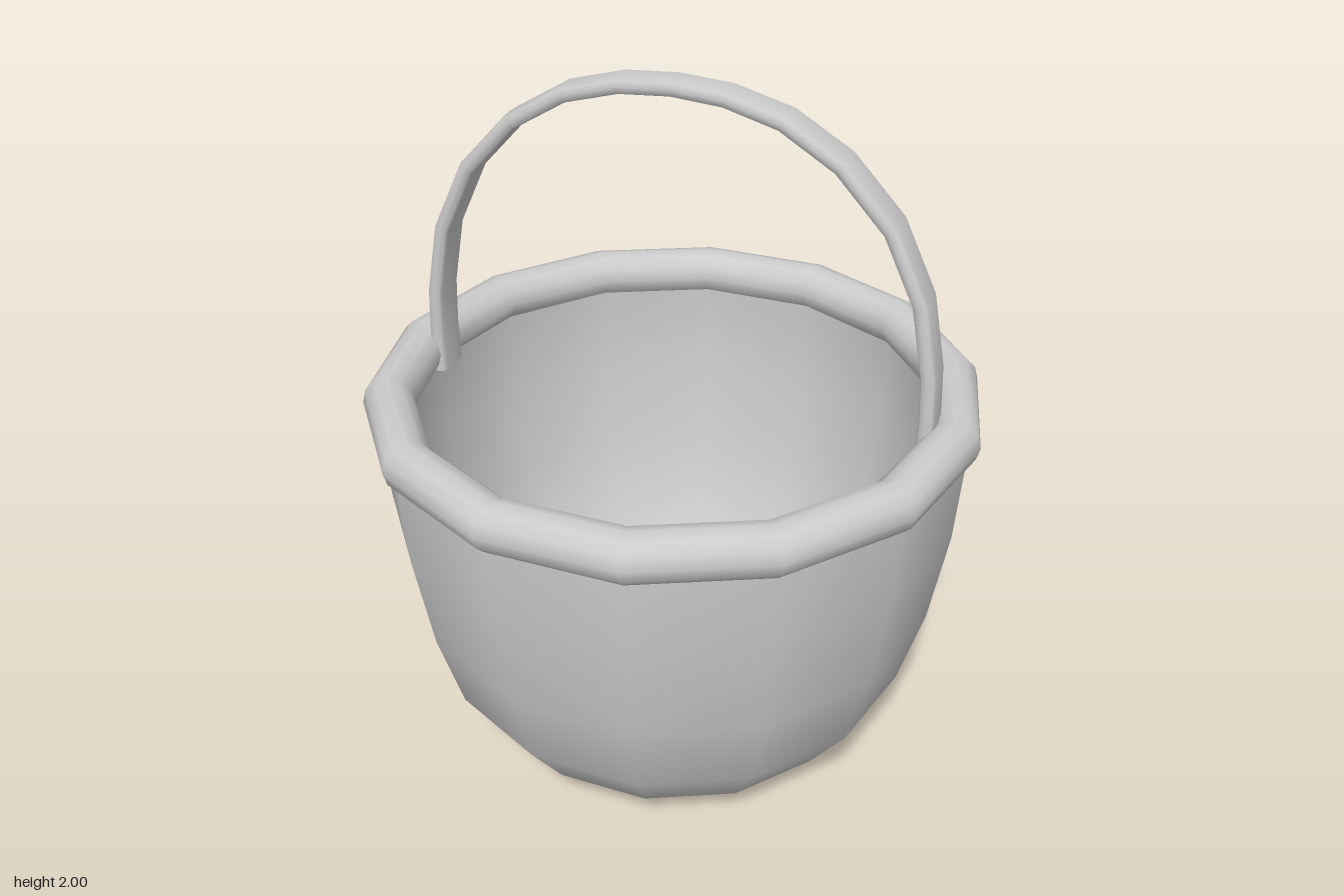
import * as THREE from 'three';

const SIDES = 14;

export function createModel() {
  const group = new THREE.Group();
  const material = new THREE.MeshStandardMaterial({ color: 0xcccccc });

  function add(name, geometry) {
    const mesh = new THREE.Mesh(geometry, material);
    mesh.name = name;
    group.add(mesh);
    return mesh;
  }
  const lathe = (profile) =>
    new THREE.LatheGeometry(profile.map(([r, y]) => new THREE.Vector2(r, y)), SIDES);
  const ring = (radius, tube, y, tubeSides) =>
    new THREE.TorusGeometry(radius, tube, tubeSides, SIDES)
      .rotateX(Math.PI / 2).rotateY(Math.PI / 2).translate(0, y, 0);

  // Bowl: outer wall, inner wall with floor, and underside
  add('outerWall', lathe([
    [0.42, 0.02], [0.45, 0.04], [0.565, 0.13], [0.685, 0.3], [0.752, 0.54],
    [0.797, 0.82], [0.811, 1.04], [0.811, 1.1],
  ]));
  add('innerWall', lathe([
    [0.73, 1.12], [0.735, 1.0], [0.73, 0.82], [0.69, 0.54], [0.62, 0.3], [0.51, 0.13],
  ]));
  add('floor', lathe([[0.51, 0.13], [0.4, 0.105], [0.2, 0.09], [0, 0.085]]));
  add('underside', lathe([[0, 0.015], [0.42, 0.015]]));

  // Rings: thick rim, foot ring and the thin seam around the inner floor
  add('rim', ring(0.776, 0.069, 1.115, 12));
  add('footRing', ring(0.425, 0.014, 0.014, 8));
  add('floorSeam', ring(0.503, 0.011, 0.13, 8));

  // Handle: flattened rounded strap swept over an arch
  const half = [[0.704, 1.06], [0.706, 1.18], [0.7, 1.31], [0.663, 1.505], [0.575, 1.69],
    [0.44, 1.835], [0.29, 1.925], [0.14, 1.966]];
  const arch = [...half, [0, 1.976], ...half.slice().reverse().map(([r, y]) => [-r, y])];
  const handle = add('handle', strap(arch));
  handle.rotation.y = -Math.atan2(0.445, 0.56);

  return group;
}

// Sweeps a rounded flat section along an arch in the xy plane, closing both ends
function strap(path) {
  const sides = 12, thick = 0.022;
  const positions = [], index = [];
  const last = path.length - 1;
  path.forEach(([x, y], i) => {
    const a = path[Math.max(i - 1, 0)], b = path[Math.min(i + 1, last)];
    const length = Math.hypot(b[0] - a[0], b[1] - a[1]);
    const nx = (b[1] - a[1]) / length, ny = -(b[0] - a[0]) / length;
    const wide = 0.046 + 0.01 * Math.abs(x) / 0.7;
    for (let j = 0; j < sides; j++) {
      const t = (j / sides) * Math.PI * 2;
      const c = Math.cos(t), s = Math.sin(t);
      const u = thick * Math.sign(c) * Math.sqrt(Math.abs(c));
      const w = wide * Math.sign(s) * Math.sqrt(Math.abs(s));
      positions.push(x + nx * u, y + ny * u, w);
      if (i < last) {
        const p = i * sides + j, q = i * sides + (j + 1) % sides;
        index.push(p, p + sides, q, q, p + sides, q + sides);
      }
    }
  });
  // End caps on their own vertices so the rim of each end stays crisp
  for (const i of [0, last]) {
    const start = positions.length / 3;
    for (let j = 0; j < sides * 3; j++) positions.push(positions[i * sides * 3 + j]);
    for (let j = 1; j < sides - 1; j++) {
      if (i === 0) index.push(start, start + j, start + j + 1);
      else index.push(start, start + j + 1, start + j);
    }
  }
  const geometry = new THREE.BufferGeometry();
  geometry.setAttribute('position', new THREE.Float32BufferAttribute(positions, 3));
  geometry.setIndex(index);
  geometry.computeVertexNormals();
  return geometry;
}
